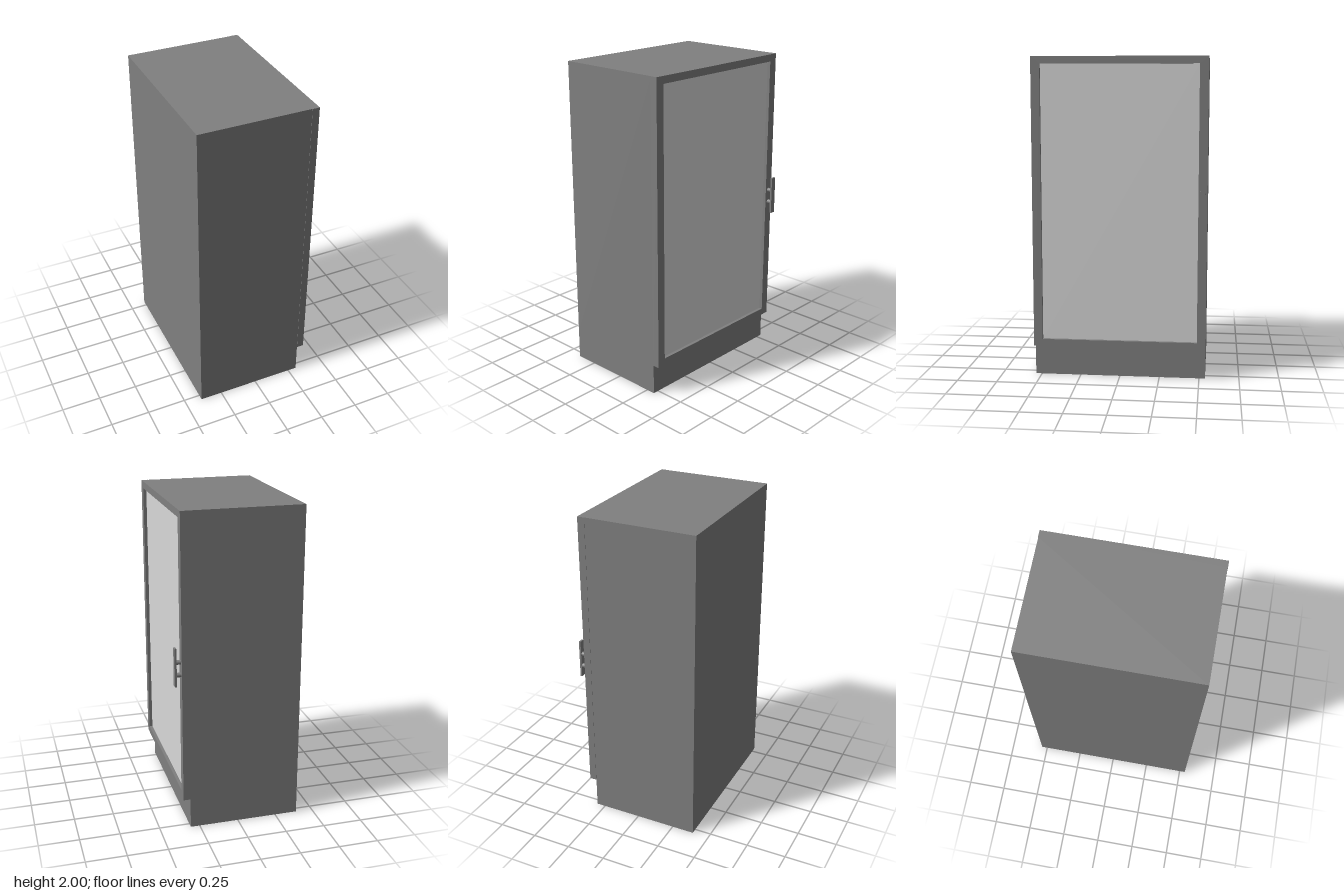
import * as THREE from 'three';

export function createModel() {
  const group = new THREE.Group();
  const grey = new THREE.MeshStandardMaterial({ color: 0x808080 });
  grey.name = 'cabinet grey';
  const pale = new THREE.MeshStandardMaterial({ color: 0xd9d9d9 });
  pale.name = 'panel pale grey';

  const add = (name, geometry, material) => {
    const mesh = new THREE.Mesh(geometry, material);
    mesh.name = name;
    group.add(mesh);
    return mesh;
  };
  // Box given by its minimum and maximum corners
  const box = (name, [x0, y0, z0], [x1, y1, z1], material = grey) =>
    add(name, new THREE.BoxGeometry(x1 - x0, y1 - y0, z1 - z0), material)
      .position.set((x0 + x1) / 2, (y0 + y1) / 2, (z0 + z1) / 2);

  const back = -0.393, face = 0.308, front = 0.353;
  const halfBody = 0.538, halfDoor = 0.54, base = 0.195, wall = 0.004;

  // Cabinet body above a hollow plinth that is open underneath
  box('body', [back, base, -halfBody], [face, 2, halfBody]);
  box('plinthBack', [back, 0, -halfBody], [back + wall, base, halfBody]);
  box('plinthFront', [face - wall, 0, -halfBody], [face, base, halfBody]);
  for (const [name, s] of [['plinthSideA', 1], ['plinthSideB', -1]]) {
    const z = s * (halfBody - wall / 2);
    box(name, [back + wall, 0, z - wall / 2], [face - wall, base, z + wall / 2]);
  }

  // Door frame: rectangle with an opening, extruded along x
  const rect = (PathType, w, y0, y1) => new PathType([
    new THREE.Vector2(-w, y0), new THREE.Vector2(w, y0),
    new THREE.Vector2(w, y1), new THREE.Vector2(-w, y1),
  ]);
  const frame = rect(THREE.Shape, halfDoor, base, 2);
  frame.holes.push(rect(THREE.Path, 0.485, 0.24, 1.955));
  const frameGeometry = new THREE.ExtrudeGeometry(frame, { depth: front - face, bevelEnabled: false });
  frameGeometry.rotateY(Math.PI / 2).translate(face, 0, 0);
  add('doorFrame', frameGeometry, grey);

  // Recessed door panel
  box('doorPanel', [0.324, 0.24, -0.485], [0.333, 1.955, 0.485], pale);

  // Handle: upright bar on two round posts
  const handleZ = -0.512;
  box('handleBar', [0.381, 0.95, handleZ - 0.017], [0.393, 1.19, handleZ + 0.017]);
  for (const y of [1.02, 1.1]) {
    const post = add('handlePost', new THREE.CylinderGeometry(0.014, 0.014, 0.03, 24), grey);
    post.rotation.z = Math.PI / 2;
    post.position.set(0.367, y, handleZ);
  }
  return group;
}
